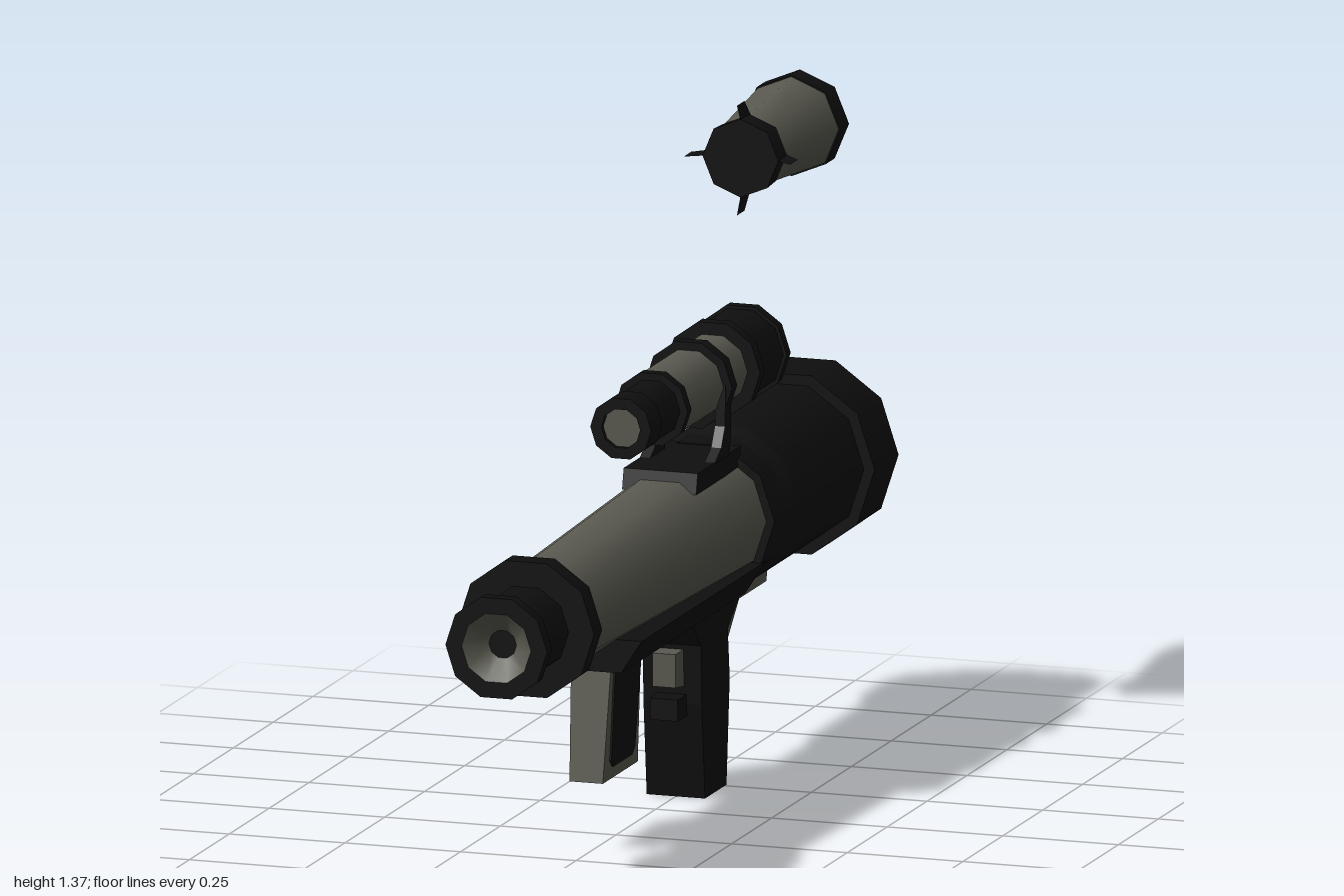
import * as THREE from 'three';
import { mergeGeometries } from 'three/addons/utils/BufferGeometryUtils.js';

const grey = new THREE.MeshStandardMaterial({ color: 0x5a5a51, side: THREE.DoubleSide });
grey.name = 'olive grey';
const dark = new THREE.MeshStandardMaterial({ color: 0x0f0f0f, side: THREE.DoubleSide });
dark.name = 'near black';

export function createModel() {
  const group = new THREE.Group();

  function add(name, geometry, material) {
    const mesh = new THREE.Mesh(geometry, material);
    mesh.name = name;
    group.add(mesh);
    return mesh;
  }

  // Turned part along z: profile of [radius, z], hard edge at every profile point
  function turned(name, y, sides, material, profile) {
    const bands = [];
    for (let i = 0; i + 1 < profile.length; i++) {
      const pts = [profile[i], profile[i + 1]].map(([r, z]) => new THREE.Vector2(r, z));
      bands.push(new THREE.LatheGeometry(pts, sides, Math.PI / 2));
    }
    const g = mergeGeometries(bands);
    g.rotateX(Math.PI / 2);
    g.translate(0, y, 0);
    return add(name, g, material);
  }

  // Side silhouette of [z, y] points, extruded across x; widthAt(y) gives the half width
  function slab(name, material, points, widthAt, cx = 0) {
    const shape = new THREE.Shape(points.map(([z, y]) => new THREE.Vector2(-z, y)));
    let g = new THREE.ExtrudeGeometry(shape, { depth: 2, bevelEnabled: false });
    g.translate(0, 0, -1);
    g.rotateY(Math.PI / 2);
    const p = g.attributes.position;
    for (let i = 0; i < p.count; i++) p.setX(i, cx + p.getX(i) * widthAt(p.getY(i)));
    g = g.toNonIndexed ? (g.index ? g.toNonIndexed() : g) : g;
    g.computeVertexNormals();
    return add(name, g, material);
  }

  // Main tube
  const Y = 0.553;
  turned('barrel', Y, 10, grey, [[0.143, -0.3], [0.116, 0.76]]);
  turned('rearTube', Y, 10, dark, [
    [0.125, -0.95], [0.197, -0.95], [0.197, -0.8], [0.174, -0.8],
    [0.174, -0.4], [0.16, -0.36], [0.16, -0.28], [0.13, -0.28]]);
  turned('rearFunnel', Y, 10, grey, [[0.05, -0.89], [0.125, -0.95]]);
  turned('rearBore', Y, 10, dark, [[0, -0.885], [0.052, -0.885]]);
  turned('frontCollar', Y, 10, dark, [
    [0.1, 0.75], [0.14, 0.75], [0.148, 0.765], [0.148, 0.815], [0.09, 0.815]]);
  turned('muzzle', Y, 10, dark, [
    [0.093, 0.8], [0.09, 0.97], [0.11, 0.97], [0.11, 1], [0.075, 1]]);
  turned('muzzleFunnel', Y, 10, grey, [[0.075, 1], [0.03, 0.96]]);
  turned('muzzleBore', Y, 10, dark, [[0.031, 0.958], [0, 0.958]]);

  // Cradle under the barrel, wider at the top
  slab('underRail', dark, [[0.48, 0.395], [0.48, 0.465], [-0.3, 0.465], [-0.3, 0.395]],
    y => (y > 0.43 ? 0.135 : 0.09));

  // Rear handle, flared where it meets the rail
  slab('handle', dark, [
    [-0.1, 0.325], [-0.105, 0.2], [-0.125, 0], [-0.26, 0], [-0.28, 0.22], [-0.268, 0.325]],
    () => 0.063);
  slab('handleFlare', dark, [[0.03, 0.398], [-0.1, 0.325], [-0.268, 0.325], [-0.265, 0.398]],
    y => (y > 0.35 ? 0.09 : 0.063));
  slab('trigger', grey, [[-0.05, 0.315], [-0.05, 0.245], [-0.12, 0.235], [-0.12, 0.315]],
    () => 0.025);
  slab('triggerStop', dark, [[-0.05, 0.22], [-0.05, 0.175], [-0.13, 0.175], [-0.13, 0.22]],
    () => 0.03);

  // Bent brace behind the handle
  slab('brace', grey, [
    [-0.35, 0.4], [-0.62, 0.4], [-0.605, 0.35], [-0.435, 0.35], [-0.325, 0.245],
    [-0.26, 0.245], [-0.26, 0.27], [-0.285, 0.27], [-0.36, 0.345]], () => 0.03);

  // Front grip with dark side panels
  const gripWidth = y => 0.036 + (y - 0.15) * 0.03;
  slab('frontGrip', grey, [[0.405, 0.4], [0.437, 0.15], [0.218, 0.15], [0.218, 0.4]], gripWidth);
  slab('gripPanels', dark, [
    [0.388, 0.4], [0.398, 0.19], [0.382, 0.175], [0.265, 0.175], [0.248, 0.19], [0.222, 0.4]],
    y => gripWidth(y) + 0.004);

  // Sight
  const S = 0.845;
  turned('eyepiece', S, 10, dark, [
    [0.063, 0.03], [0.063, 0.15], [0.066, 0.15], [0.066, 0.22], [0.042, 0.22], [0.042, 0.205]]);
  turned('eyepieceLens', S, 10, grey, [[0.043, 0.208], [0, 0.208]]);
  turned('eyepieceRing', S, 10, dark, [[0.06, 0.005], [0.079, 0.005], [0.079, 0.03], [0.06, 0.03]]);
  turned('sightTube', S, 10, grey, [[0.076, -0.36], [0.076, 0.01]]);
  turned('sightBand', S, 10, dark, [[0.07, -0.237], [0.094, -0.237], [0.094, -0.205], [0.07, -0.205]]);
  turned('sightBell', S, 10, dark, [
    [0.07, -0.555], [0.1, -0.555], [0.1, -0.53], [0.093, -0.53], [0.093, -0.385],
    [0.103, -0.385], [0.103, -0.355], [0.07, -0.355]]);
  turned('objectiveFunnel', S, 10, grey, [[0.03, -0.525], [0.07, -0.555]]);
  turned('objectiveBore', S, 10, dark, [[0, -0.523], [0.031, -0.523]]);

  // Sight mount: base plate and two curved arms
  slab('mountBase', dark, [[-0.02, 0.66], [-0.03, 0.703], [-0.3, 0.703], [-0.3, 0.66]], () => 0.08);
  for (const side of [-1, 1]) {
    slab(side > 0 ? 'leftMountArm' : 'rightMountArm', dark, [
      [-0.13, 0.7], [-0.175, 0.725], [-0.198, 0.765], [-0.203, 0.85], [-0.237, 0.85],
      [-0.235, 0.735], [-0.225, 0.7]], () => 0.011, side * 0.07);
  }

  // Rocket floating above the tube
  const R = 1.25;
  turned('rocketTip', R, 8, dark, [[0, -1], [0.04, -0.99], [0.068, -0.965]]);
  turned('rocketNose', R, 8, grey, [[0.068, -0.965], [0.092, -0.935], [0.102, -0.9]]);
  turned('rocketBand', R, 8, dark, [
    [0.1, -0.903], [0.106, -0.903], [0.106, -0.848], [0.1, -0.848]]);
  turned('rocketBody', R, 8, grey, [[0.103, -0.85], [0.078, -0.59]]);
  turned('rocketTail', R, 8, dark, [[0.079, -0.592], [0.082, -0.53], [0, -0.53]]);

  // Four thin swept fins
  const fin = new THREE.Shape([[0.07, -0.6], [0.082, -0.59], [0.115, -0.555], [0.115, -0.508],
    [0.08, -0.53], [0.07, -0.53]].map(([r, z]) => new THREE.Vector2(r, z)));
  for (let i = 0; i < 4; i++) {
    const g = new THREE.ShapeGeometry(fin);
    g.rotateX(Math.PI / 2);
    g.rotateZ(i * Math.PI / 2);
    g.translate(0, R, 0);
    add('rocketFin', g, dark);
  }

  return group;
}
